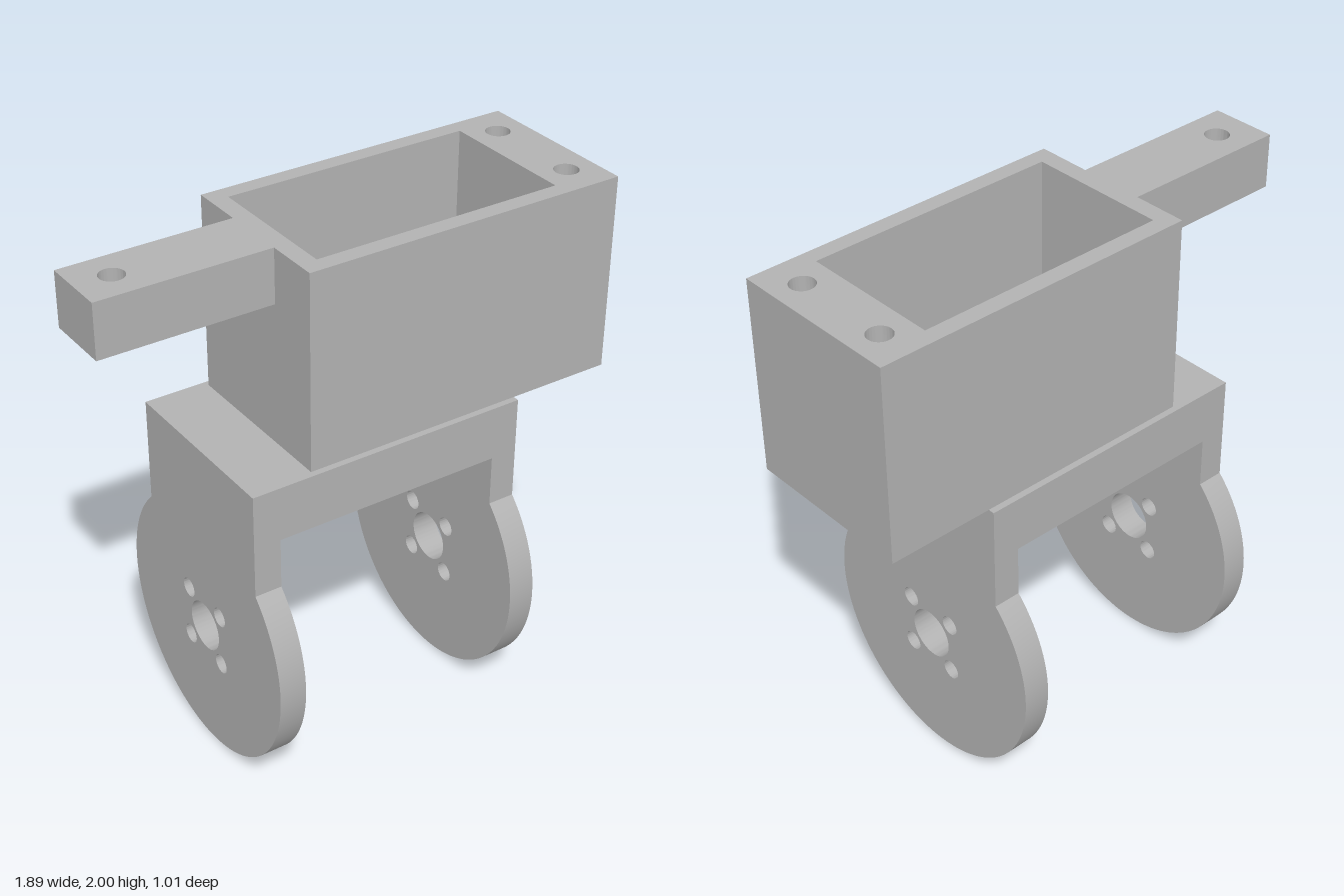
import * as THREE from 'three';
import { toCreasedNormals } from 'three/addons/utils/BufferGeometryUtils.js';

const grey = new THREE.MeshStandardMaterial({ color: 0xb2b2b2 });
grey.name = 'plain grey';

const polygon = (points, Type = THREE.Shape) => new Type(points.map(p => new THREE.Vector2(...p)));
const rect = (x0, x1, z, Type) => polygon([[x0, -z], [x1, -z], [x1, z], [x0, z]], Type);
const round = (x, y, r) => new THREE.Path().absarc(x, y, r, 0, Math.PI * 2, true);

function extrude(shape, depth) {
  return new THREE.ExtrudeGeometry(shape, { depth, bevelEnabled: false, curveSegments: 40 });
}

function part(name, geometry) {
  const mesh = new THREE.Mesh(toCreasedNormals(geometry, 0.5), grey);
  mesh.name = name;
  return mesh;
}

// Horizontal slab: outline in x and z, between two heights
function slab(name, shape, bottom, top) {
  return part(name, extrude(shape, top - bottom).rotateX(Math.PI / 2).translate(0, top, 0));
}

// Upright cheek with a round foot and bearing holes, between two x positions
function cheek(name, x0, x1) {
  const r = 0.503, half = 0.355, angle = Math.acos(half / r);
  const shape = new THREE.Shape();
  shape.moveTo(half, 1.26);
  shape.lineTo(-half, 1.26);
  shape.absarc(0, r, r, Math.PI - angle, Math.PI * 2 + angle, false);
  shape.closePath();
  shape.holes.push(round(0, r, 0.095));
  for (const z of [-0.105, 0.105]) {
    for (const y of [-0.105, 0.105]) shape.holes.push(round(z, r + y, 0.037));
  }
  return part(name, extrude(shape, x1 - x0).rotateY(Math.PI / 2).translate(x0, 0, 0));
}

export function createModel() {
  const model = new THREE.Group();
  model.name = 'bracketWithHousing';

  // Fork: two cheeks joined by a bridge with a window
  const fork = new THREE.Group();
  fork.name = 'fork';
  const bridge = rect(-0.44, 0.443, 0.355);
  bridge.holes.push(rect(-0.15, 0.15, 0.102, THREE.Path));
  fork.add(
    cheek('rightCheek', -0.543, -0.44),
    cheek('leftCheek', 0.443, 0.546),
    slab('bridge', bridge, 1.053, 1.26)
  );

  // Housing: open rectangular tube, with a mounting arm along its top
  const housing = new THREE.Group();
  housing.name = 'housing';
  const cavity = () => rect(-0.234, 0.724, 0.267, THREE.Path);
  const box = rect(-0.302, 0.945, 0.331);
  box.holes.push(cavity());
  const withArm = () => {
    const shape = polygon([
      [-0.95, -0.125], [-0.302, -0.125], [-0.302, -0.331], [0.945, -0.331],
      [0.945, 0.331], [-0.302, 0.331], [-0.302, 0.125], [-0.95, 0.125]
    ]);
    shape.holes.push(cavity());
    return shape;
  };
  // Top layer carries the blind screw holes
  const rim = withArm();
  rim.holes.push(round(-0.815, 0, 0.045), round(0.835, 0.19, 0.045), round(0.835, -0.19, 0.045));
  housing.add(
    slab('housingWalls', box, 1.26, 1.796),
    slab('armBase', withArm(), 1.796, 1.85),
    slab('rimAndArmTop', rim, 1.85, 2)
  );

  model.add(fork, housing);
  return model;
}
